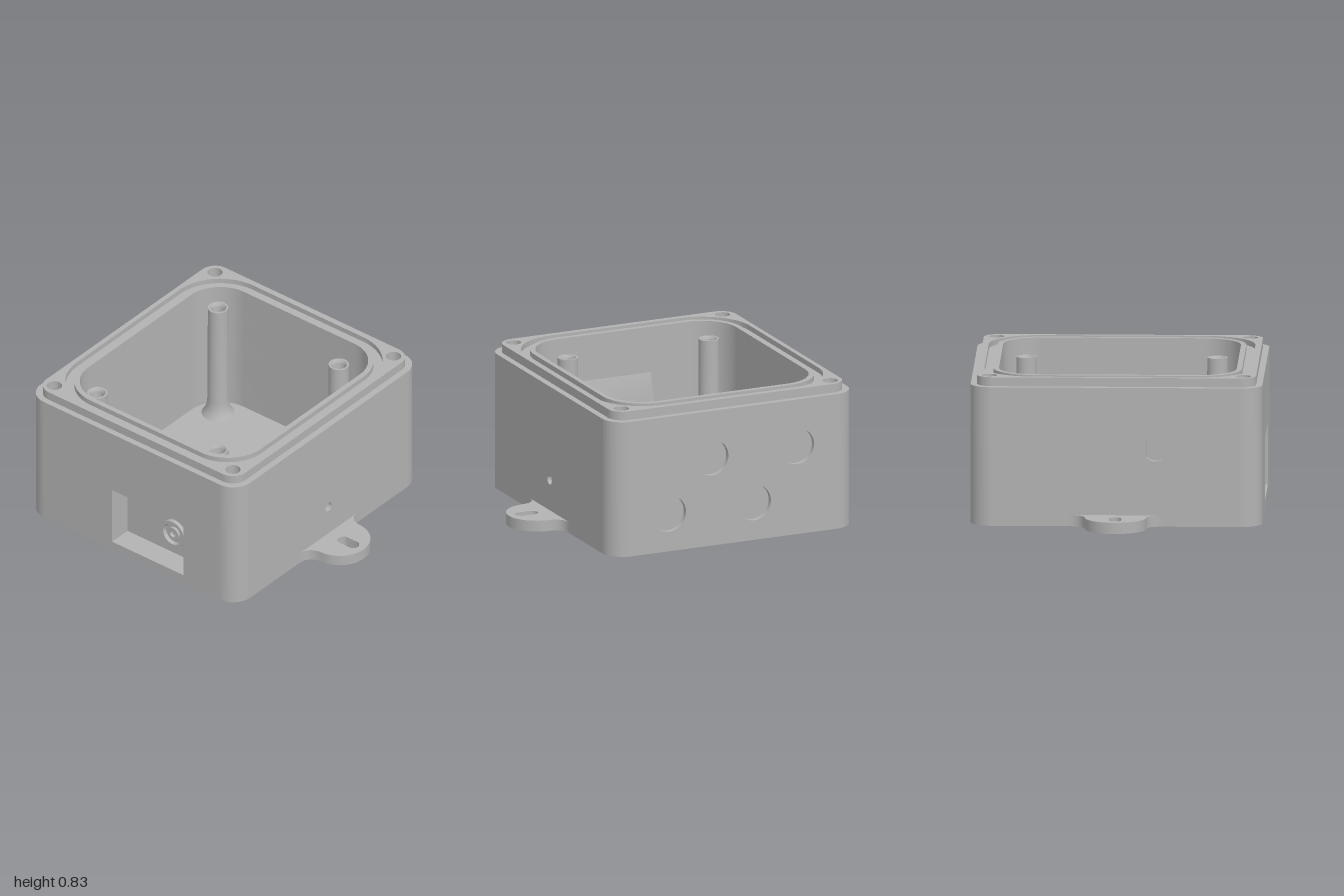
import * as THREE from 'three';
import { toCreasedNormals } from 'three/addons/utils/BufferGeometryUtils.js';

const W = 0.81, D = 0.75, BASE = 0.05, TOP = 0.78, RIM = 0.83, SKIN = 0.03;
const POCKET = { z0: -0.14, z1: 0.37, y: 0.4, x: -0.675 };

export function createModel() {
  const model = new THREE.Group();
  const grey = new THREE.MeshStandardMaterial({ color: 0xb2b2b2 });
  grey.name = 'grey plastic';

  const add = (name, geometry, parent = model) => {
    const mesh = new THREE.Mesh(toCreasedNormals(geometry, 0.6), grey);
    mesh.name = name;
    parent.add(mesh);
    return mesh;
  };
  const extrude = (shape, depth) =>
    new THREE.ExtrudeGeometry(shape, { depth, bevelEnabled: false, curveSegments: 14 });
  // Horizontal slab between two heights; shape y becomes -z
  const slab = (name, shape, y0, y1) =>
    add(name, extrude(shape, y1 - y0).rotateX(-Math.PI / 2).translate(0, y0, 0));
  const polygon = (pts) => new THREE.Shape(pts.map(([x, y]) => new THREE.Vector2(x, y)));
  const circle = (x, y, r) => new THREE.Path().absarc(x, y, r, 0, Math.PI * 2);

  // Rounded rectangle, with an optional notch in its left side
  const rounded = (w, d, r, notch = false) => {
    const s = new THREE.Shape();
    s.absarc(w - r, r - d, r, -Math.PI / 2, 0);
    s.absarc(w - r, d - r, r, 0, Math.PI / 2);
    s.absarc(r - w, d - r, r, Math.PI / 2, Math.PI);
    if (notch) {
      s.lineTo(-w, -POCKET.z0);
      s.lineTo(POCKET.x, -POCKET.z0);
      s.lineTo(POCKET.x, -POCKET.z1);
      s.lineTo(-w, -POCKET.z1);
    }
    s.absarc(r - w, r - d, r, Math.PI, Math.PI * 1.5);
    s.closePath();
    return s;
  };
  const cut = (shape, ...holes) => {
    shape.holes.push(...holes);
    return shape;
  };
  const cavity = () => rounded(0.66, 0.605, 0.21);
  const screwHoles = () =>
    [[1, 1], [-1, 1], [-1, -1], [1, -1]].map(([sx, sz]) => circle(sx * 0.705, sz * 0.64, 0.042));

  // Floor and wall core
  slab('floor', rounded(W, D, 0.12), 0, BASE);
  const core = (notch) => rounded(W - SKIN, D - SKIN, 0.09, notch);
  slab('lowerWallCore', cut(core(true), cavity()), BASE, POCKET.y);
  slab('middleWallCore', cut(core(), cavity()), POCKET.y, 0.62);
  slab('upperWallCore', cut(core(), cavity(), ...screwHoles()), 0.62, TOP);

  // Rounded outer corners
  for (let i = 0; i < 4; i++) {
    const sx = i === 0 || i === 3 ? 1 : -1, sy = i < 2 ? 1 : -1;
    const a = (i * Math.PI) / 2, b = a + Math.PI / 2;
    const s = new THREE.Shape();
    s.absarc(sx * 0.69, sy * 0.63, 0.12, a, b);
    s.absarc(sx * 0.69, sy * 0.63, 0.09, b, a, true);
    slab('wallCorner', s, BASE, TOP);
  }

  // Flat outer wall panels with shallow knockouts
  const panel = (name, shape, angle, distance) =>
    add(name, extrude(shape, SKIN).translate(0, 0, distance - SKIN).rotateY(angle));
  const sheet = (h) => polygon([[-h, BASE], [h, BASE], [h, TOP], [-h, TOP]]);
  const knockout = (u, y) => {
    const p = new THREE.Path();
    p.absarc(u, y, 0.102, Math.PI * 0.68, Math.PI * 2.32);
    p.closePath();
    return p;
  };
  const backKnockout = new THREE.Path();
  backKnockout.absarc(0.22, 0.435, 0.068, -0.7, 0.7 - Math.PI, true);
  backKnockout.absarc(0.22, 0.435, 0.068, Math.PI - 0.7, 0.7, true);
  backKnockout.closePath();
  panel('frontPanel', cut(sheet(0.69), circle(0, 0.24, 0.028)), 0, D);
  panel('backPanel', cut(sheet(0.69), backKnockout), Math.PI, D);
  panel('knockoutPanel', cut(sheet(0.63), knockout(-0.135, 0.507), knockout(0.39, 0.507),
    knockout(-0.395, 0.215), knockout(0.125, 0.215)), Math.PI / 2, W);
  panel('connectorPanel', polygon([[-0.63, BASE], [POCKET.z0, BASE], [POCKET.z0, POCKET.y],
    [POCKET.z1, POCKET.y], [POCKET.z1, BASE], [0.63, BASE], [0.63, TOP], [-0.63, TOP]]),
  -Math.PI / 2, W);

  // Stepped rim with a seal groove
  const lip = () => rounded(0.775, 0.713, 0.09);
  slab('rimBase', cut(lip(), cavity(), ...screwHoles()), TOP, 0.8);
  slab('outerRim', cut(lip(), rounded(0.74, 0.685, 0.29), ...screwHoles()), 0.8, RIM);
  slab('innerRim', cut(rounded(0.69, 0.635, 0.24), cavity()), 0.8, RIM);

  // Sloped housing behind the connector pocket
  add('pocketHousing', extrude(polygon([[-0.665, BASE], [-0.62, BASE], [-0.62, 0.42],
    [-0.665, 0.585]]), 0.58).translate(0, 0, -0.18));

  const lathe = (pts) =>
    new THREE.LatheGeometry(pts.map(([r, y]) => new THREE.Vector2(r, y)), 32);

  // Round socket in the pocket
  const socket = lathe([[0.085, 0], [0.085, 0.025], [0.065, 0.025], [0.06, 0.004],
    [0.04, 0.004], [0.04, 0.02], [0.02, 0.02], [0.015, 0.004], [0, 0.004]]);
  add('socket', socket.rotateZ(Math.PI / 2).translate(POCKET.x, 0.19, 0.2));

  // Mounting posts with flared feet and screw bores
  for (const x of [-0.53, 0.53]) {
    for (const z of [-0.475, 0.39]) {
      add('mountingPost', lathe([[0.092, BASE], [0.075, 0.075], [0.064, 0.11], [0.06, 0.15],
        [0.057, 0.76], [0.046, 0.76], [0.036, 0.745], [0.036, 0.6], [0, 0.6]])
        .translate(x, 0, z));
    }
  }

  // Slotted mounting ears, front and back
  for (const angle of [0, Math.PI]) {
    const s = new THREE.Shape();
    s.moveTo(-0.26, 0.74);
    s.lineTo(-0.26, D);
    s.quadraticCurveTo(-0.18, D, -0.17, 0.83);
    s.absarc(0, 0.83, 0.17, Math.PI, 0, true);
    s.quadraticCurveTo(0.18, D, 0.26, D);
    s.lineTo(0.26, 0.74);
    const slot = new THREE.Path();
    slot.absarc(0, 0.925, 0.034, 0, Math.PI);
    slot.absarc(0, 0.858, 0.034, Math.PI, Math.PI * 2);
    slot.closePath();
    slab('mountingEar', cut(s, slot), 0, 0.063).rotation.y = angle;
  }

  return model;
}
